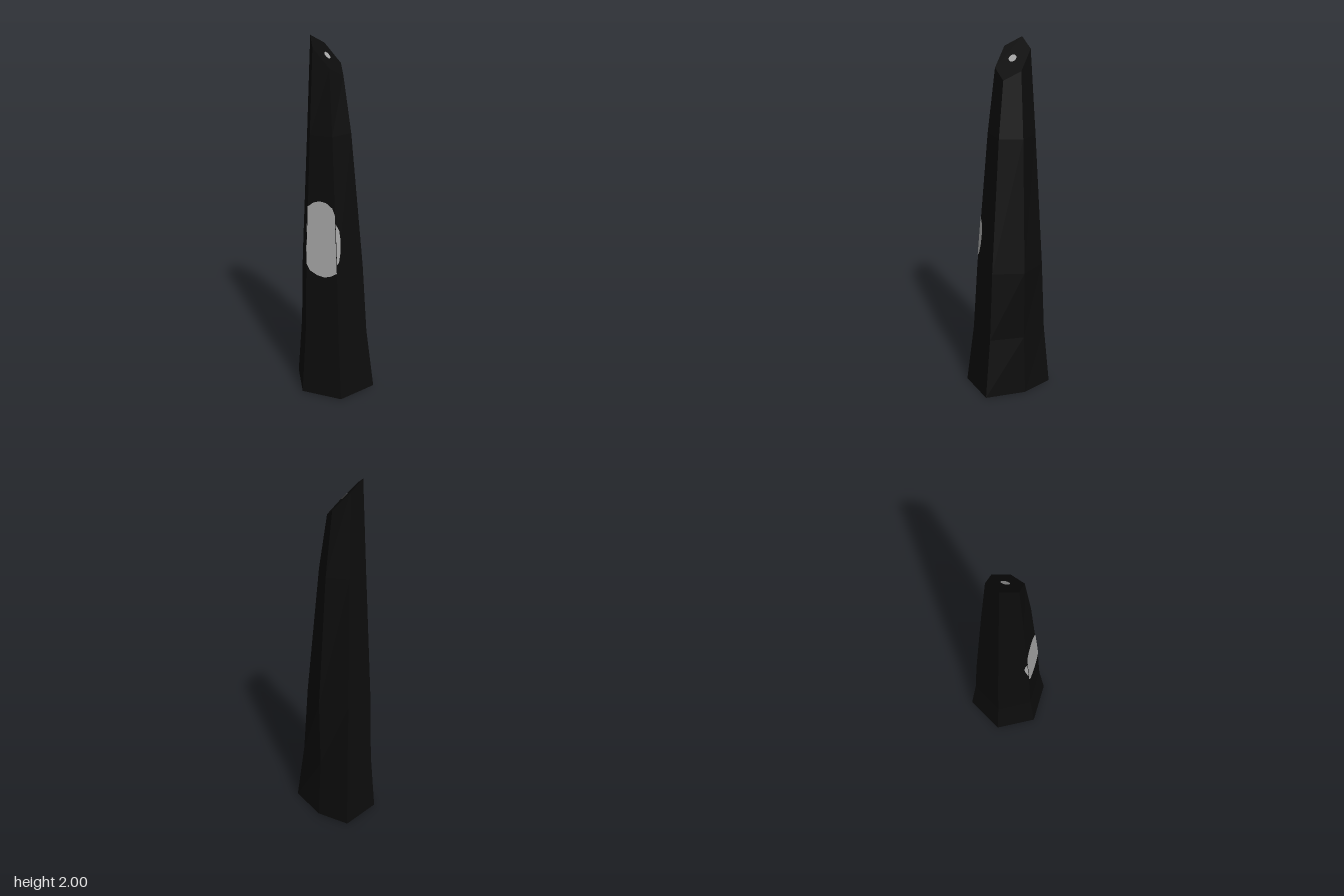
import * as THREE from 'three';

// Levels of the tapering shaft: height, left x, right x, half depth, inset of the back right corner
const LEVELS = [
  [0, -0.237, 0.237, 0.21, 0.053],
  [0.35, -0.21, 0.19, 0.176, 0.035],
  [0.75, -0.2, 0.163, 0.157, 0.012],
  [1.5, -0.163, 0.09, 0.111, 0],
  [2, -0.14, 0.045, 0.08, 0],
];
const SLOPE = 1.08; // fall of the slanted tip per unit of x

// Six corners, anticlockwise from above: left, front left, front right, right, back right, back left
function corners([y, left, right, depth, inset]) {
  const c = (left + right) / 2, q = (right - left) / 4;
  return [
    [left, 0], [c - q, depth], [c + q, depth],
    [right, 0], [c + q - inset, -depth + inset], [c - q, -depth],
  ].map(([x, z]) => new THREE.Vector3(x, y, z));
}

function levelAt(y) {
  const i = Math.max(1, LEVELS.findIndex((l) => l[0] >= y));
  const a = LEVELS[i - 1], b = LEVELS[i];
  const t = (y - a[0]) / (b[0] - a[0]);
  return a.map((v, k) => THREE.MathUtils.lerp(v, b[k], t));
}

// Shaft with closed base and slanted tip
function shaftGeometry() {
  const rings = LEVELS.map(corners);
  const tip = rings[rings.length - 1];
  tip.forEach((p) => { p.y = 2 - (p.x + 0.14) * SLOPE; });
  const pos = [];
  const tri = (...pts) => pts.forEach((p) => pos.push(p.x, p.y, p.z));
  for (let r = 0; r < rings.length - 1; r++) {
    const lo = rings[r], hi = rings[r + 1];
    for (let i = 0; i < 6; i++) {
      const j = (i + 1) % 6;
      tri(lo[i], lo[j], hi[j]);
      tri(lo[i], hi[j], hi[i]);
    }
  }
  for (let i = 1; i < 5; i++) {
    tri(tip[0], tip[i], tip[i + 1]);
    tri(rings[0][0], rings[0][i + 1], rings[0][i]);
  }
  const g = new THREE.BufferGeometry();
  g.setAttribute('position', new THREE.Float32BufferAttribute(pos, 3));
  g.computeVertexNormals();
  return g;
}

// Thin patch on one side of the shaft; outline is [share across the side, height]
function patchGeometry(side, outline) {
  const g = new THREE.ShapeGeometry(new THREE.Shape(outline.map((p) => new THREE.Vector2(...p))));
  const pos = g.attributes.position;
  for (let k = 0; k < pos.count; k++) {
    const y = pos.getY(k);
    const ring = corners(levelAt(y));
    const a = ring[side], b = ring[(side + 1) % 6];
    const out = new THREE.Vector3(a.z - b.z, 0, b.x - a.x).normalize().negate();
    if (out.dot(a.clone().add(b).setY(0)) < 0) out.negate();
    const p = a.clone().lerp(b, pos.getX(k)).addScaledVector(out, 0.003);
    pos.setXYZ(k, p.x, y, p.z);
  }
  g.computeVertexNormals();
  return g;
}

export function createModel() {
  const group = new THREE.Group();
  group.name = 'obelisk';
  const black = new THREE.MeshStandardMaterial({ color: 0x0c0c0c, flatShading: true });
  black.name = 'black stone';
  const grey = new THREE.MeshStandardMaterial({ color: 0xa8a8a8 });
  grey.name = 'pale grey';

  const add = (name, geometry, material) => {
    const m = new THREE.Mesh(geometry, material);
    m.name = name;
    group.add(m);
    return m;
  };

  add('shaft', shaftGeometry(), black);

  // Pale patch on the front, wrapping slightly round both edges
  add('frontPatch', patchGeometry(1, [
    [0, 0.785], [0.13, 0.745], [0.35, 0.725], [0.6, 0.717], [0.8, 0.728], [1, 0.75],
    [1, 1.08], [0.92, 1.115], [0.7, 1.14], [0.45, 1.147], [0.2, 1.135], [0.05, 1.115], [0, 1.11],
  ]), grey);
  add('rightPatchEdge', patchGeometry(2, [
    [0, 0.8], [0.08, 0.81], [0.16, 0.87], [0.18, 0.93], [0.14, 0.99], [0, 1.03],
  ]), grey);
  add('leftPatchEdge', patchGeometry(0, [
    [1, 0.85], [1, 1.03], [0.92, 1.0], [0.88, 0.96], [0.93, 0.9],
  ]), grey);

  // Small pale spots on the tip and under the base
  const normal = new THREE.Vector3(SLOPE, 1, 0).normalize();
  const tipSpot = add('tipSpot', new THREE.CircleGeometry(0.022, 16), grey);
  tipSpot.position.set(-0.047, 2 - 0.093 * SLOPE, 0).addScaledVector(normal, 0.003);
  tipSpot.quaternion.setFromUnitVectors(new THREE.Vector3(0, 0, 1), normal);

  const baseSpot = add('baseSpot', new THREE.CircleGeometry(0.04, 20), grey);
  baseSpot.rotation.x = Math.PI / 2;
  baseSpot.position.y = -0.002;

  return group;
}
